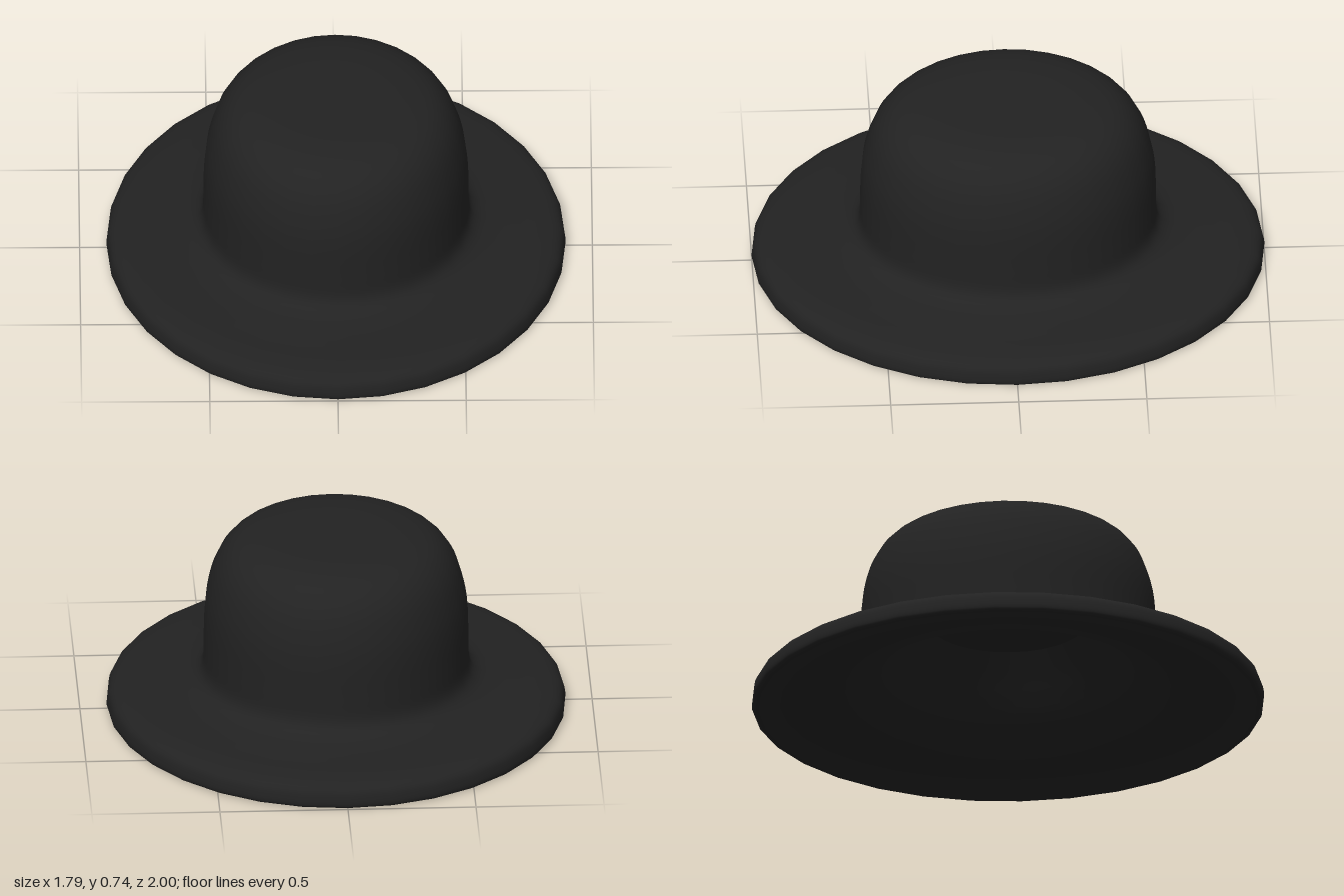
import * as THREE from 'three';

const SIDES = 32;
const X_SCALE = 0.895; // the hat is oval, longer from front to back

// Smooth a few [radius, height] points into a profile and spin it into an oval shell
function ovalShell(name, points, samples, material) {
  const curve = new THREE.SplineCurve(points.map(([r, y]) => new THREE.Vector2(r, y)));
  const profile = curve.getPoints(samples);
  profile.forEach((p) => { p.x = Math.max(p.x, 0); });
  const geometry = new THREE.LatheGeometry(profile, SIDES);
  geometry.scale(X_SCALE, 1, 1);
  const mesh = new THREE.Mesh(geometry, material);
  mesh.name = name;
  return mesh;
}

export function createModel() {
  const hat = new THREE.Group();
  hat.name = 'hat';
  const felt = new THREE.MeshStandardMaterial({ color: 0x222222 });

  // Rounded brim edge, gently rising brim top, and tall crown with soft shoulders
  hat.add(ovalShell('brimAndCrown', [
    [0.975, 0], [0.997, 0.006], [1, 0.035], [0.985, 0.075], [0.93, 0.098],
    [0.8, 0.11], [0.68, 0.122], [0.615, 0.143], [0.583, 0.185], [0.578, 0.27],
    [0.575, 0.4], [0.562, 0.5], [0.53, 0.6], [0.48, 0.67], [0.41, 0.712],
    [0.3, 0.733], [0.15, 0.739], [0, 0.74],
  ], 68, felt));

  // Underside flares up from the brim edge into the head opening
  hat.add(ovalShell('lining', [
    [0.31, 0.36], [0.38, 0.275], [0.44, 0.2], [0.5, 0.135],
    [0.58, 0.09], [0.7, 0.06], [0.85, 0.03], [0.975, 0],
  ], 28, felt));

  // Flat ceiling inside the crown
  hat.add(ovalShell('liningTop', [[0, 0.37], [0.16, 0.368], [0.31, 0.36]], 6, felt));

  return hat;
}
